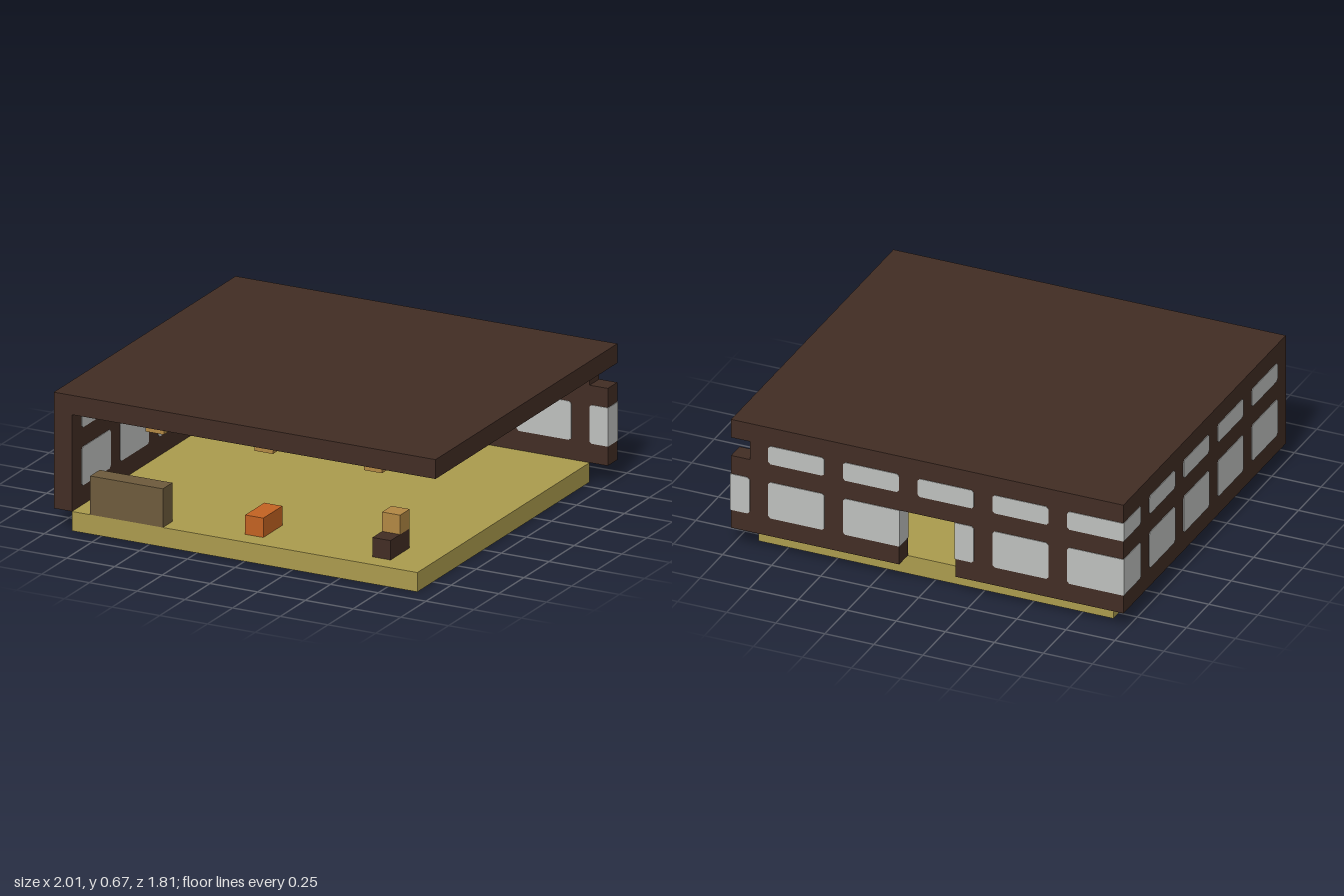
import * as THREE from 'three';

const U = 2 / 21; // one building block
const E = 0.003;  // how far panes stand proud of the wall
const mat = (name, color) => {
  const m = new THREE.MeshStandardMaterial({ color });
  m.name = name;
  return m;
};

export function createModel() {
  const wood = mat('dark wood', 0x422d24);
  const glass = mat('pale glass', 0xbfc1bf);
  const straw = mat('straw floor', 0xac9c4e);
  const gold = mat('lamp gold', 0xb38844);
  const ember = mat('ember orange', 0xc46322);
  const plank = mat('counter brown', 0x6e5b3c);
  const model = new THREE.Group();
  model.name = 'pavilion';

  const add = (parent, name, geometry, material) => {
    const mesh = new THREE.Mesh(geometry, material);
    mesh.name = name;
    parent.add(mesh);
    return mesh;
  };

  // Block-aligned box: ranges in block units, x and z measured from the centre
  const box = (name, [x0, x1], [y0, y1], [z0, z1], material) => {
    const g = new THREE.BoxGeometry((x1 - x0) * U, (y1 - y0) * U, (z1 - z0) * U);
    g.translate((x0 + x1) * U / 2, (y0 + y1) * U / 2, (z0 + z1) * U / 2);
    return add(model, name, g, material);
  };

  const extrude = (points, depth) => new THREE.ExtrudeGeometry(
    new THREE.Shape(points.map(([x, y]) => new THREE.Vector2(x, y))),
    { depth, bevelEnabled: false });

  // Pane through the wall; cutL / cutR clip its corners, otherwise it wraps a wall end
  const pane = (wall, a, b, y0, y1, cutL, cutR) => {
    const l = a * U - (cutL ? 0 : E), r = b * U + (cutR ? 0 : E);
    const lo = y0 * U, hi = y1 * U, c = 0.011;
    const cl = cutL ? c : 0, cr = cutR ? c : 0;
    const pts = [];
    if (cutL) pts.push([l, hi - c], [l, lo + c]);
    pts.push([l + cl, lo], [r - cr, lo]);
    if (cutR) pts.push([r, lo + c], [r, hi - c]);
    pts.push([r - cr, hi], [l + cl, hi]);
    const g = extrude(pts, U + 2 * E);
    g.translate(0, 0, -E);
    add(wall, 'windowPane', g, glass);
  };

  // Floor and roof
  box('floor', [-9.5, 9.5], [0, 1], [-8.5, 9.5], straw);
  box('roof', [-10.5, 10.5], [6, 7], [-9.5, 9.5], wood);

  // Back wall with doorway and a missing upper corner block
  const back = new THREE.Group();
  back.name = 'backWall';
  back.position.set(-1, 0, -9.5 * U);
  model.add(back);
  const outline = [[0, 1], [9, 1], [9, 4], [12, 4], [12, 1], [21, 1], [21, 5], [20, 5], [20, 6], [0, 6]];
  add(back, 'backWallFrame', extrude(outline.map(p => p.map(v => v * U)), U), wood);
  for (let a = 0; a < 20; a += 4) pane(back, a, a + 3, 5, 6, a > 0, true);
  pane(back, 0, 3, 2, 4, false, true);
  pane(back, 4, 7, 2, 4, true, true);
  pane(back, 8, 9, 2, 4, true, false);
  pane(back, 12, 15, 2, 4, false, true);
  pane(back, 16, 19, 2, 4, true, true);
  pane(back, 20, 21, 2, 4, true, false);

  // Right side wall, running from the back corner to the front
  const side = new THREE.Group();
  side.name = 'sideWall';
  side.position.set(-1 + U, 0, -9.5 * U);
  side.rotation.y = -Math.PI / 2;
  model.add(side);
  add(side, 'sideWallFrame', extrude([[1, 1], [19, 1], [19, 6], [1, 6]].map(p => p.map(v => v * U)), U), wood);
  for (const [y0, y1] of [[2, 4], [5, 6]]) {
    pane(side, 1, 2, y0, y1, false, true);
    for (let a = 3; a < 18; a += 4) pane(side, a, a + 3, y0, y1, true, true);
  }

  // Ceiling lamps in a three by three grid
  for (const x of [-6, 0, 6]) {
    for (const z of [-5, 1, 7]) box('ceilingLamp', [x - 0.5, x + 0.5], [5, 6], [z - 0.5, z + 0.5], gold);
  }

  // Furniture near the open front
  box('counter', [-8.5, -4.5], [1, 3], [8.5, 9.5], plank);
  box('hearth', [-0.5, 0.5], [1, 2], [6.5, 8.5], ember);
  box('bench', [6.5, 7.5], [1, 2], [6.5, 8.5], wood);
  box('benchLamp', [6.5, 7.5], [2, 3], [6.5, 7.5], gold);

  return model;
}
